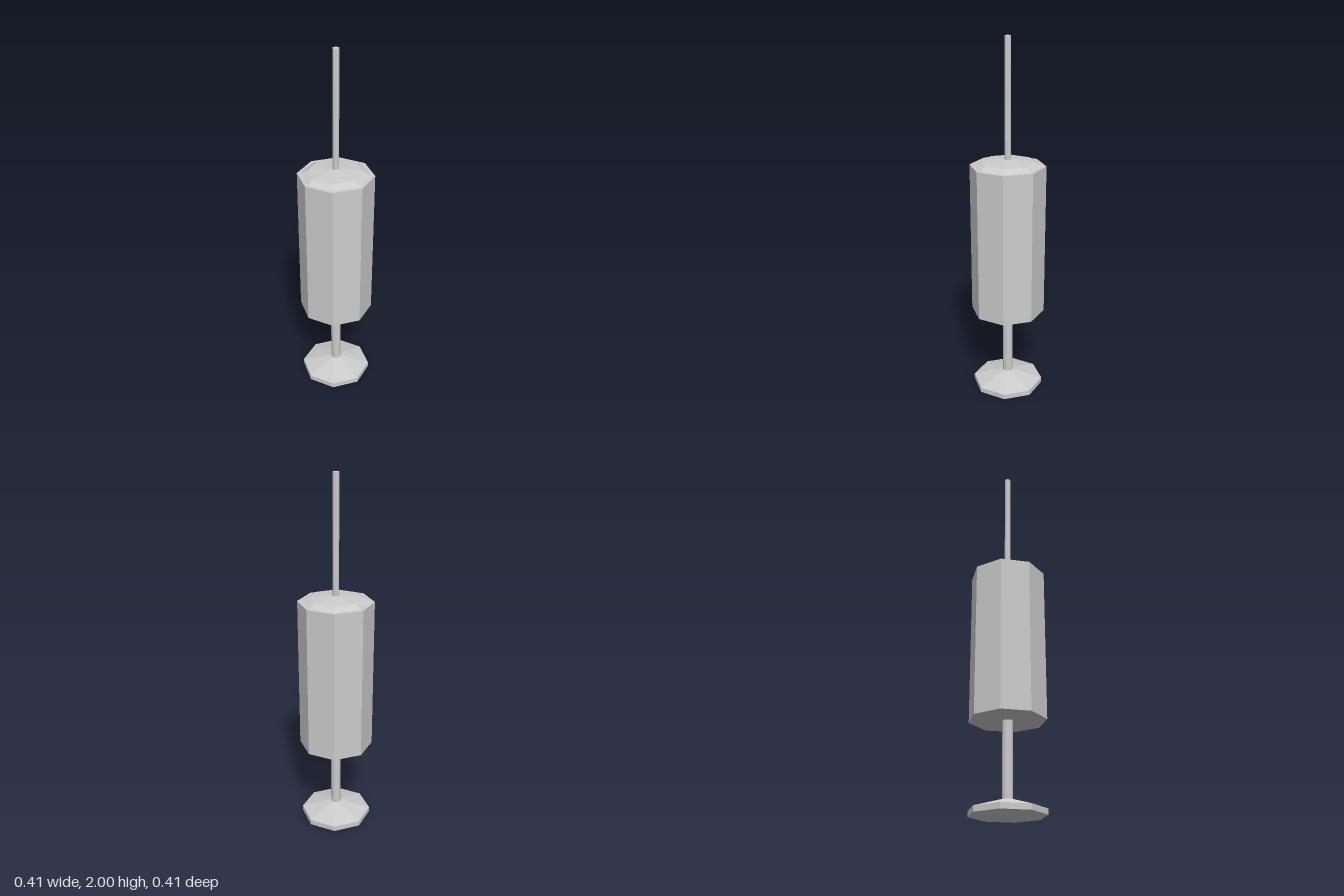
import * as THREE from 'three';

const material = new THREE.MeshStandardMaterial({ color: 0xcccccc, flatShading: true });

export function createModel() {
  const model = new THREE.Group();

  // Adds a faceted turned part from a [radius, height] profile, bottom to top
  function turned(name, sides, profile) {
    const points = profile.map(([r, y]) => new THREE.Vector2(r, y));
    const mesh = new THREE.Mesh(new THREE.LatheGeometry(points, sides), material);
    mesh.name = name;
    model.add(mesh);
  }

  // Octagonal foot with a sloping top
  turned('base', 8, [[0, 0], [0.2, 0], [0.2, 0.03], [0.028, 0.08], [0, 0.08]]);

  // Thick rod between foot and body
  turned('lowerRod', 16, [[0, 0.06], [0.028, 0.06], [0.028, 0.49], [0, 0.49]]);

  // Octagonal body
  turned('body', 8, [[0, 0.48], [0.206, 0.48], [0.206, 1.33], [0, 1.33]]);

  // Shallow faceted cap, set in from the body rim
  turned('cap', 8, [[0.187, 1.33], [0.147, 1.35], [0, 1.366]]);

  // Thin rod rising to the top
  turned('upperRod', 16, [[0, 1.34], [0.017, 1.34], [0.017, 2], [0, 2]]);

  return model;
}
